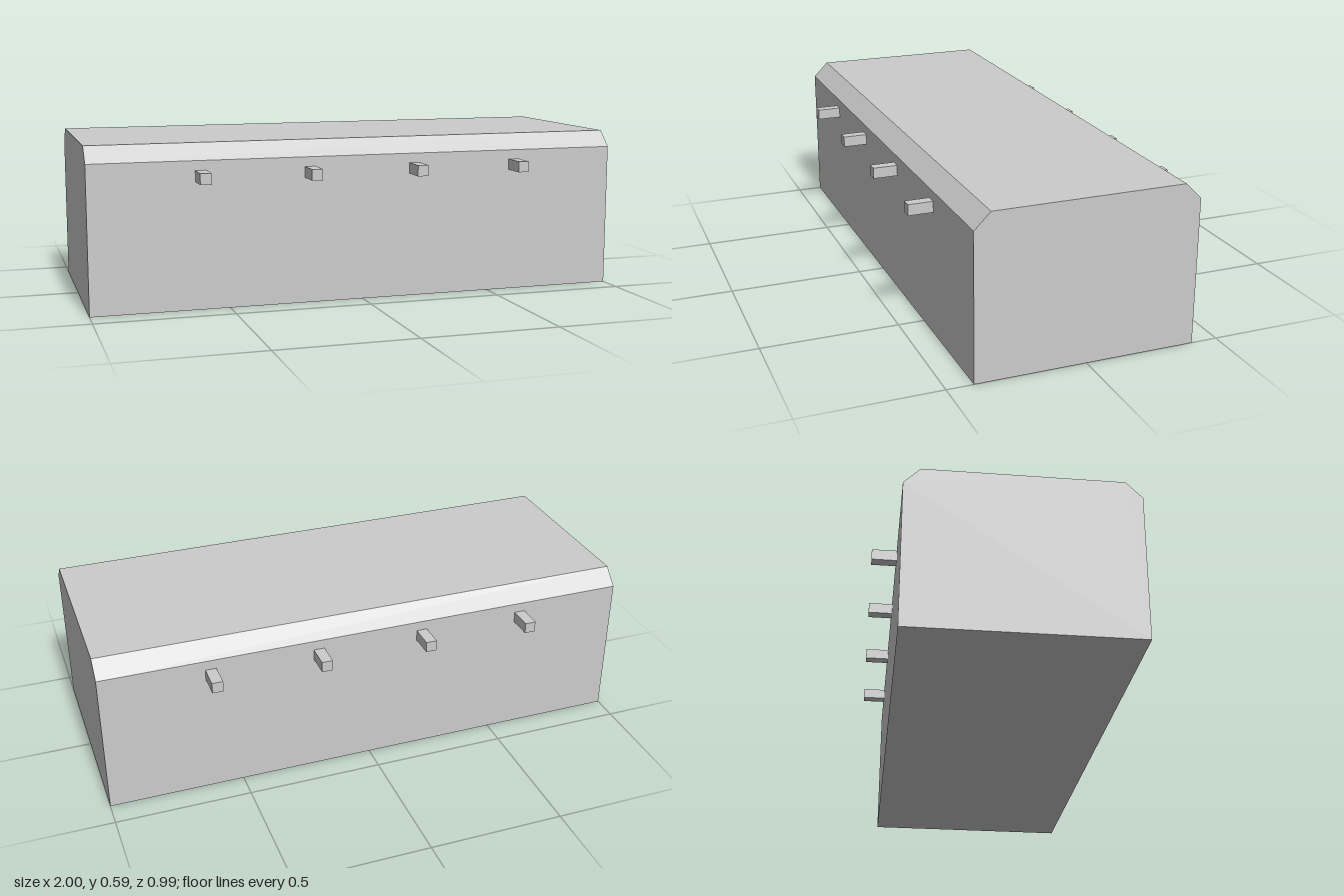
import * as THREE from 'three';

const LENGTH = 2, HALF_DEPTH = 0.404, HEIGHT = 0.593, CHAMFER = 0.058;
const PEG = 0.04, PEG_END = 0.494, PEG_Y = 0.48;

export function createModel() {
  const model = new THREE.Group();
  model.name = 'block';
  const material = new THREE.MeshStandardMaterial({ color: 0xcccccc, flatShading: true });

  // Long body: chamfered cross-section swept along x
  const section = new THREE.Shape([
    [-HALF_DEPTH, 0],
    [HALF_DEPTH, 0],
    [HALF_DEPTH, HEIGHT - CHAMFER],
    [HALF_DEPTH - CHAMFER, HEIGHT],
    [-HALF_DEPTH + CHAMFER, HEIGHT],
    [-HALF_DEPTH, HEIGHT - CHAMFER],
  ].map(([z, y]) => new THREE.Vector2(z, y)));
  const bodyGeometry = new THREE.ExtrudeGeometry(section, { depth: LENGTH, bevelEnabled: false });
  bodyGeometry.translate(0, 0, -LENGTH / 2).rotateY(Math.PI / 2);
  const body = new THREE.Mesh(bodyGeometry, material);
  body.name = 'body';
  model.add(body);

  // Four square pegs on the front and four on the back
  const pegLength = PEG_END - HALF_DEPTH;
  const pegGeometry = new THREE.BoxGeometry(PEG, PEG, pegLength);
  for (const side of [1, -1]) {
    const row = new THREE.Group();
    row.name = side > 0 ? 'frontPegs' : 'backPegs';
    for (const x of [-0.6, -0.2, 0.2, 0.6]) {
      const peg = new THREE.Mesh(pegGeometry, material);
      peg.name = 'peg';
      peg.position.set(x, PEG_Y, side * (HALF_DEPTH + pegLength / 2));
      row.add(peg);
    }
    model.add(row);
  }
  return model;
}
